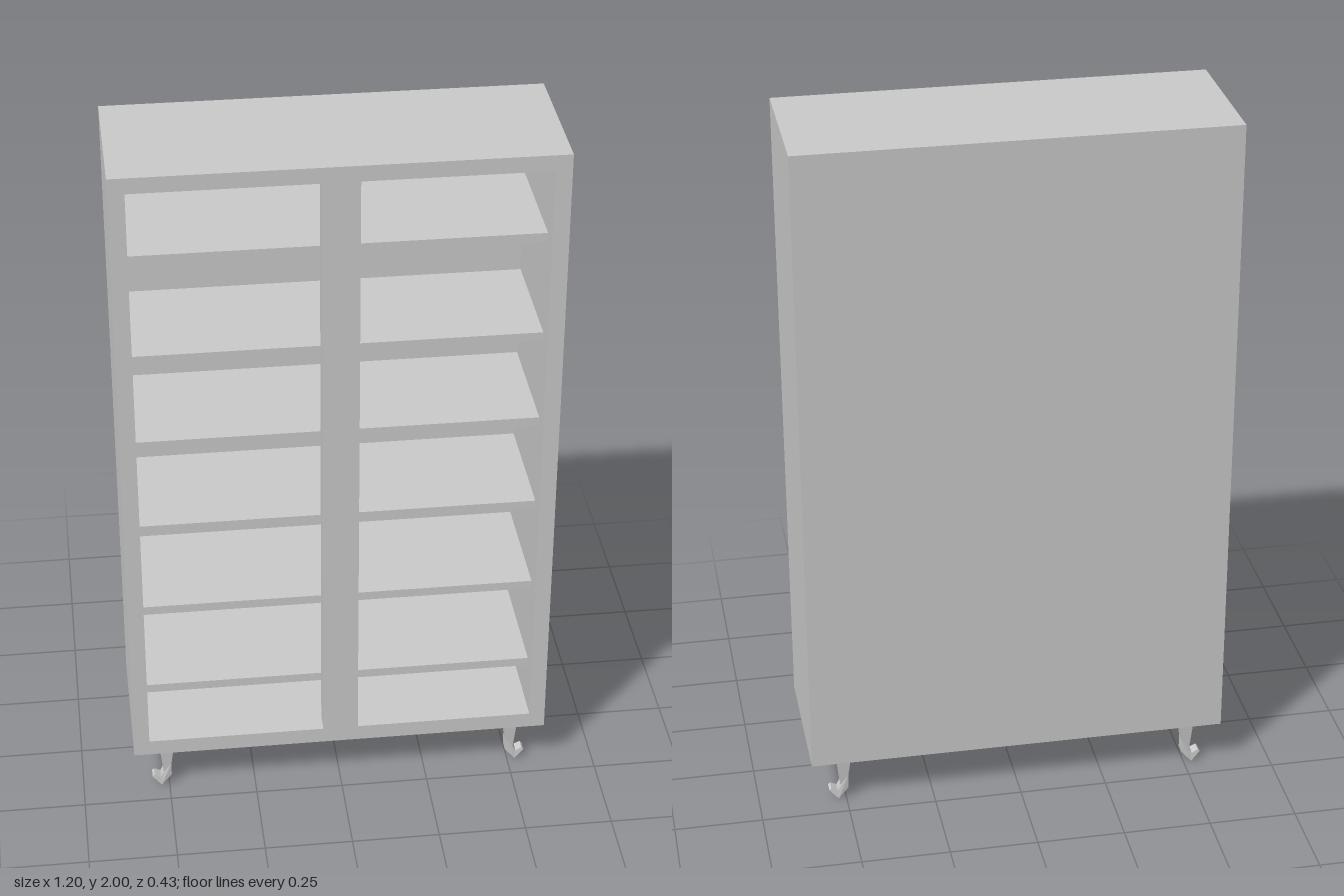
import * as THREE from 'three';

const material = new THREE.MeshStandardMaterial({ color: 0xcccccc, flatShading: true });

function add(parent, name, geometry) {
  const mesh = new THREE.Mesh(geometry, material);
  mesh.name = name;
  parent.add(mesh);
  return mesh;
}

// Box given by its lower and upper corners
function block(parent, name, [x0, y0, z0], [x1, y1, z1]) {
  const mesh = add(parent, name, new THREE.BoxGeometry(x1 - x0, y1 - y0, z1 - z0));
  mesh.position.set((x0 + x1) / 2, (y0 + y1) / 2, (z0 + z1) / 2);
}

const rect = (x0, y0, x1, y1) =>
  [[x0, y0], [x1, y0], [x1, y1], [x0, y1]].map(p => new THREE.Vector2(...p));

// Tapered leg whose foot hooks outward; side is +1 or -1 in x
function legGeometry(side) {
  const profile = [
    [-0.021, 0.14], [-0.012, 0.075], [-0.012, 0.034], [0.018, 0.004],
    [0.044, 0.03], [0.038, 0.036], [0.02, 0.027], [0.011, 0.045], [0.021, 0.14],
  ];
  const shape = new THREE.Shape(profile.map(([x, y]) => new THREE.Vector2(x * side, y)));
  const geometry = new THREE.ExtrudeGeometry(shape, { depth: 2, bevelEnabled: false });
  geometry.translate(0, 0, -1);
  const p = geometry.attributes.position;
  for (let i = 0; i < p.count; i++) {
    const y = p.getY(i);
    // narrowest at the ankle, widening to the top and the toe
    const half = y > 0.04 ? 0.015 + 0.06 * (y - 0.04) : 0.015 + 0.1 * (0.04 - y);
    p.setZ(i, p.getZ(i) * half);
    if (y < 0.005) p.setY(i, 0);
  }
  geometry.computeVertexNormals();
  return geometry;
}

export function createModel() {
  const model = new THREE.Group();
  model.name = 'bookcase';

  // Top, bottom and sides as one open frame
  const outline = new THREE.Shape(rect(-0.6, 0.14, 0.6, 2));
  outline.holes.push(new THREE.Path(rect(-0.555, 0.187, 0.555, 1.955)));
  const carcass = add(model, 'carcass',
    new THREE.ExtrudeGeometry(outline, { depth: 0.414, bevelEnabled: false }));
  carcass.position.z = -0.2;

  block(model, 'backPanel', [-0.6, 0.14, -0.214], [0.6, 2, -0.2]);
  block(model, 'centrePost', [-0.05, 0.187, 0.156], [0.05, 1.955, 0.214]);

  // Shelves run the full width behind the post
  for (const top of [0.345, 0.62, 0.895, 1.17, 1.44, 1.743]) {
    block(model, 'shelf', [-0.555, top - 0.026, -0.2], [0.555, top, 0.154]);
  }

  for (const side of [-1, 1]) {
    const geometry = legGeometry(side);
    for (const z of [-0.166, 0.166]) {
      add(model, z > 0 ? 'frontLeg' : 'backLeg', geometry).position.set(side * 0.505, 0, z);
    }
  }
  return model;
}
